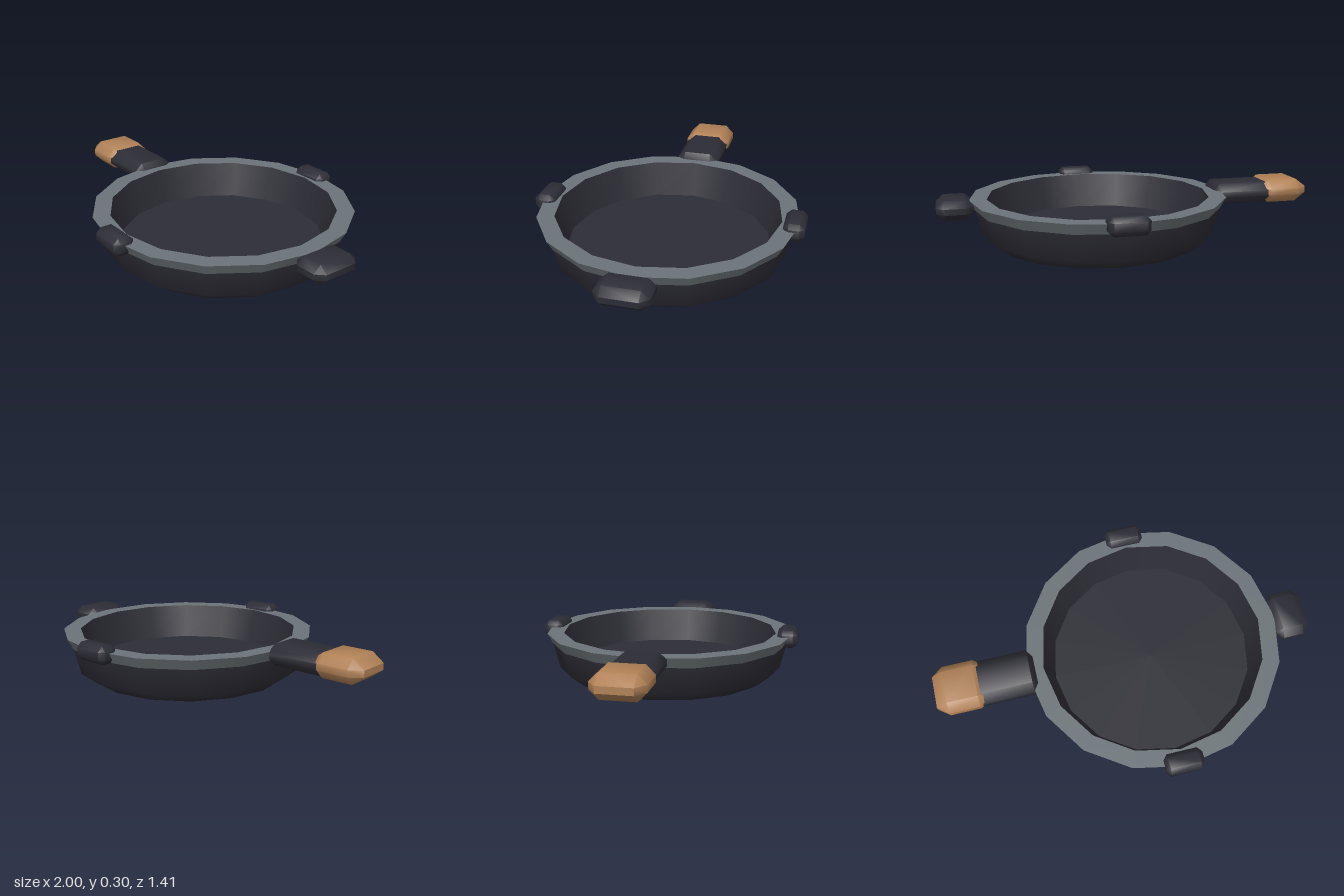
import * as THREE from 'three';
import { ConvexGeometry } from 'three/addons/geometries/ConvexGeometry.js';
import { toCreasedNormals } from 'three/addons/utils/BufferGeometryUtils.js';

const SIDES = 16;
const PAN_X = 0.16;

const material = (name, color) => {
  const m = new THREE.MeshStandardMaterial({ color });
  m.name = name;
  return m;
};

// Box with bevelled edges; size and chamfer are [x, y, z]
function bevelledBlock(size, chamfer) {
  const h = size.map((s) => s / 2);
  const points = [];
  for (const sx of [-1, 1]) for (const sy of [-1, 1]) for (const sz of [-1, 1]) {
    const s = [sx, sy, sz];
    for (let outer = 0; outer < 3; outer++) {
      const p = h.map((v, i) => s[i] * (i === outer ? v : v - chamfer[i]));
      points.push(new THREE.Vector3(...p));
    }
  }
  return toCreasedNormals(new ConvexGeometry(points), 0.85);
}

export function createModel() {
  const group = new THREE.Group();
  const iron = material('dark iron', 0x2d2d36);
  const steel = material('grey steel', 0x6c7479);
  const wood = material('brown wood', 0xb08156);
  iron.side = steel.side = THREE.DoubleSide;

  const add = (name, geometry, mat, x = 0, y = 0, z = 0) => {
    const mesh = new THREE.Mesh(geometry, mat);
    mesh.name = name;
    mesh.position.set(x, y, z);
    group.add(mesh);
  };
  const turned = (profile) =>
    new THREE.LatheGeometry(profile.map(([r, y]) => new THREE.Vector2(r, y)), SIDES);

  // Pan body: outside shell, inside wall and cooking floor
  add('panOutside', turned([[0, 0], [0.53, 0], [0.61, 0.06], [0.645, 0.195]]), iron, PAN_X);
  add('panInsideWall', turned([[0.585, 0.25], [0.535, 0.065]].reverse()).scale(1, 1, 1), iron, PAN_X);
  add('panFloor', new THREE.CircleGeometry(0.535, SIDES).rotateX(-Math.PI / 2), iron, PAN_X, 0.065);

  // Grey rim: flared outer band and flat top
  add('rimBand', turned([[0.645, 0.195], [0.675, 0.25]]), steel, PAN_X);
  add('rimTop', new THREE.RingGeometry(0.585, 0.675, SIDES).rotateX(-Math.PI / 2), steel, PAN_X, 0.25);

  // Long handle with wooden grip
  add('handle', bevelledBlock([0.37, 0.11, 0.24], [0.03, 0.04, 0.045]), iron, -0.65, 0.23);
  add('grip', bevelledBlock([0.28, 0.124, 0.26], [0.06, 0.045, 0.045]), wood, -0.86, 0.234);

  // Helper grip opposite the handle
  add('helperGrip', bevelledBlock([0.185, 0.1, 0.26], [0.04, 0.035, 0.04]), iron, 0.9075, 0.222);

  // Lugs on the front and back of the rim
  for (const [name, s] of [['frontLug', 1], ['backLug', -1]]) {
    add(name, bevelledBlock([0.2, 0.092, 0.108], [0.022, 0.024, 0.026]), iron, PAN_X, 0.239, s * 0.651);
  }

  return group;
}
